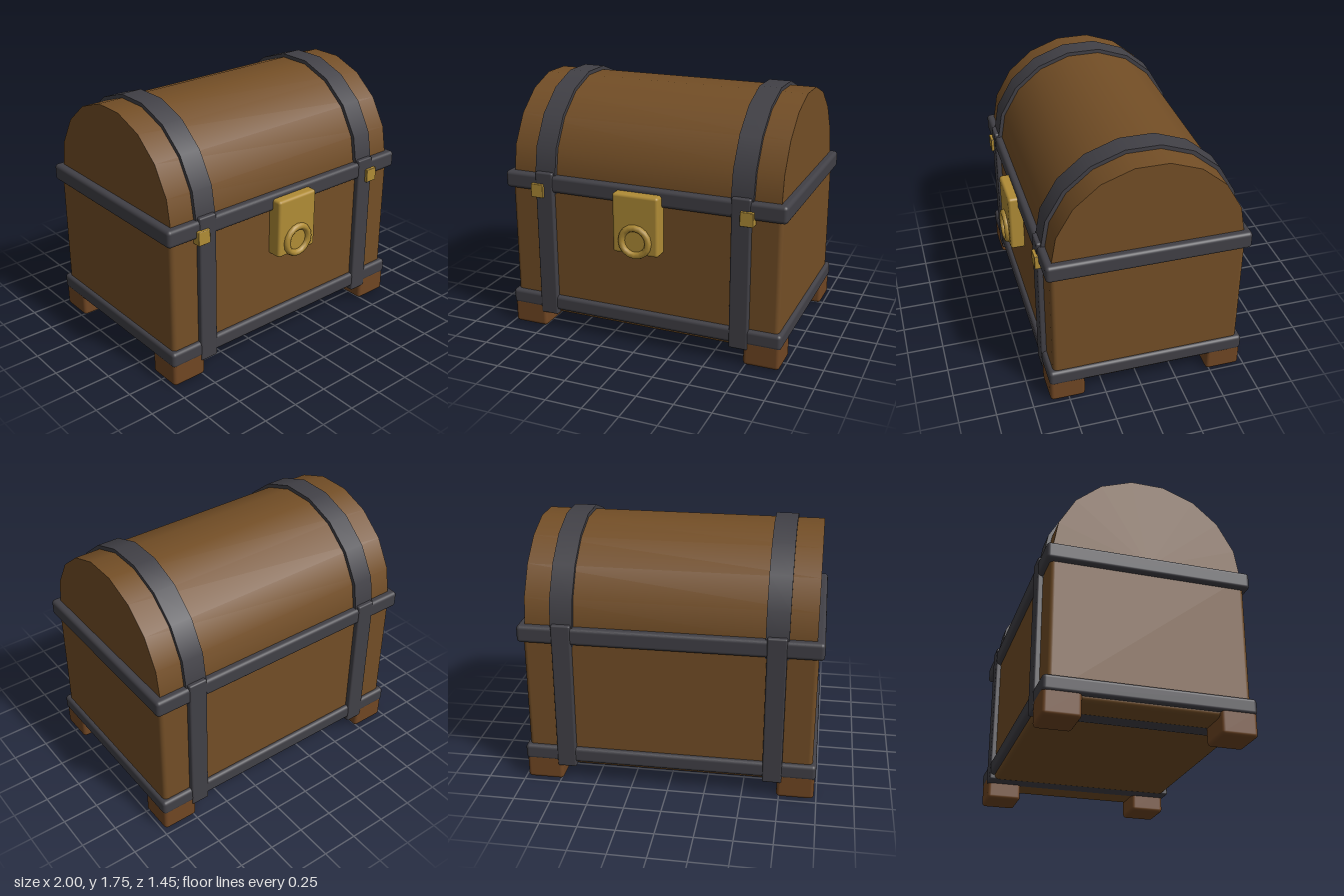
import * as THREE from 'three';
import { RoundedBoxGeometry } from 'three/addons/geometries/RoundedBoxGeometry.js';

export function createModel() {
  const chest = new THREE.Group();
  chest.name = 'treasureChest';

  const paint = (name, color) => {
    const m = new THREE.MeshStandardMaterial({ color });
    m.name = name;
    return m;
  };
  const wood = paint('wood', 0x734e26);
  const footWood = paint('foot wood', 0x704623);
  const iron = paint('iron', 0x414046);
  const brass = paint('brass', 0xb08c36);

  // The chest sits slightly back to leave room for the lock.
  const CZ = -0.044;

  const add = (name, geometry, material, x, y, z) => {
    const mesh = new THREE.Mesh(geometry, material);
    mesh.name = name;
    mesh.position.set(x, y, z);
    chest.add(mesh);
    return mesh;
  };
  // Rounded block given its size, bottom height and plan position.
  const block = (name, material, [w, h, d], r, x, y0, z) =>
    add(name, new RoundedBoxGeometry(w, h, d, 3, r), material, x, y0 + h / 2, z);
  // Barrel lying along x, with a ridge at the very top.
  const barrel = (name, material, radius, width, x) => {
    const g = new THREE.CylinderGeometry(radius, radius, width, 18);
    g.rotateZ(Math.PI / 2);
    return add(name, g, material, x, 1.095, CZ);
  };

  // Body and arched lid
  block('body', wood, [1.93, 1.01, 1.288], 0.03, 0, 0.115, CZ);
  barrel('lid', wood, 0.635, 1.9, 0);

  // Iron bands around the rim and base
  block('rimBand', iron, [2, 0.118, 1.35], 0.025, 0, 1.017, CZ);
  block('baseBand', iron, [1.98, 0.108, 1.35], 0.025, 0, 0.145, CZ);

  for (const [side, s] of [['left', 1], ['right', -1]]) {
    // Straps over the lid and around the body
    barrel(side + 'LidStrap', iron, 0.661, 0.15, s * 0.7);
    block(side + 'BodyStrap', iron, [0.13, 1.043, 1.36], 0.012, s * 0.7, 0.112, CZ);

    // Small brass clasp on the rim
    block(side + 'Clasp', brass, [0.09, 0.095, 0.09], 0.005, s * 0.745, 0.98, 0.611);

    // Feet at the front and back corners
    for (const [end, e] of [['Front', 1], ['Back', -1]]) {
      block(side + end + 'Foot', footWood, [0.25, 0.18, 0.24], 0.025, s * 0.858, 0, CZ + e * 0.552);
    }
  }

  // Lock plate with its pull ring
  block('lockPlate', brass, [0.326, 0.412, 0.12], 0.02, 0, 0.691, 0.637);
  add('lockRing', new THREE.TorusGeometry(0.096, 0.024, 8, 16), brass, 0, 0.785, 0.7);

  return chest;
}
